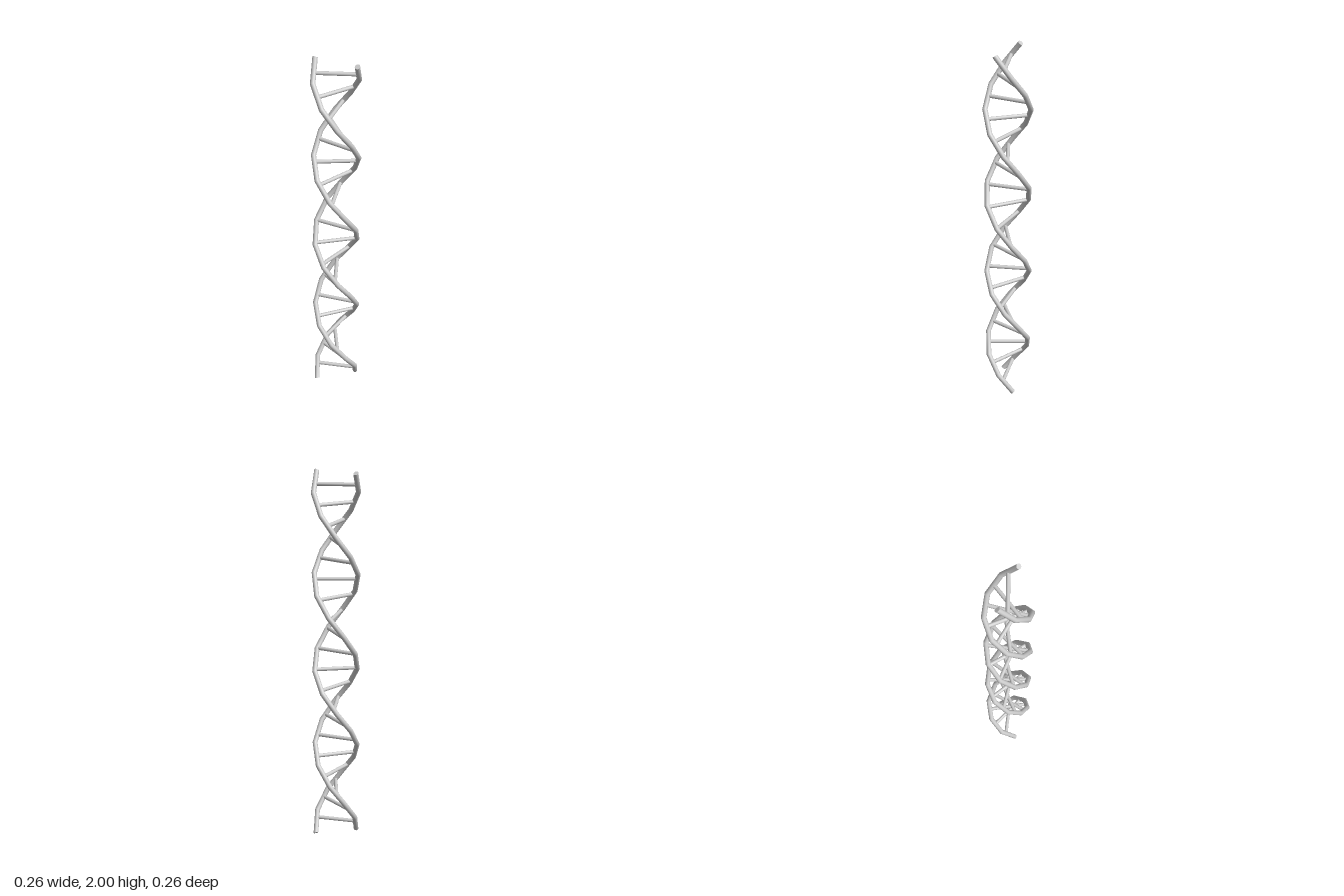
import * as THREE from 'three';

const RADIUS = 0.115;      // helix radius
const STRAND = 0.0135;     // strand thickness radius
const RUNG = 0.01;         // rung thickness radius
const SEGMENTS = 19;       // straight pieces per strand
const TOP = 1.992, BOTTOM = 0.008;
const TURN = 4.255 * Math.PI; // total twist from top to bottom

// Helix running from the top down; side is +1 or -1 for the two strands
class Helix extends THREE.Curve {
  constructor(side) {
    super();
    this.side = side;
  }
  getPoint(t, target = new THREE.Vector3()) {
    const a = TURN * t, r = RADIUS * this.side;
    return target.set(r * Math.cos(a), TOP + (BOTTOM - TOP) * t, -r * Math.sin(a));
  }
}

export function createModel() {
  const model = new THREE.Group();
  model.name = 'doubleHelix';
  const material = new THREE.MeshStandardMaterial({ color: 0xcccccc });
  const add = (name, geometry, parent = model) => {
    const mesh = new THREE.Mesh(geometry, material);
    mesh.name = name;
    parent.add(mesh);
    return mesh;
  };

  // Two strands with closed ends
  for (const side of [1, -1]) {
    const curve = new Helix(side);
    const strand = new THREE.Group();
    strand.name = side > 0 ? 'leftStrand' : 'rightStrand';
    model.add(strand);
    add('strandTube', new THREE.TubeGeometry(curve, SEGMENTS, STRAND, 16), strand);
    for (const t of [0, 1]) {
      const cap = add('strandCap', new THREE.CircleGeometry(STRAND, 16), strand);
      const outward = curve.getTangent(t).multiplyScalar(t ? 1 : -1);
      cap.position.copy(curve.getPoint(t));
      cap.quaternion.setFromUnitVectors(new THREE.Vector3(0, 0, 1), outward);
    }
  }

  // Rungs, each meeting the straight pieces of both strands
  const helix = new Helix(1);
  const up = new THREE.Vector3(0, 1, 0);
  const rungs = new THREE.Group();
  rungs.name = 'rungs';
  model.add(rungs);
  for (let i = 0; i < 20; i++) {
    const y = 1.93 - i * 0.0974;
    const s = (TOP - y) / (TOP - BOTTOM) * SEGMENTS;
    const k = Math.floor(s);
    const end = helix.getPoint(k / SEGMENTS).lerp(helix.getPoint((k + 1) / SEGMENTS), s - k);
    end.y = 0;
    const rung = add('rung', new THREE.CylinderGeometry(RUNG, RUNG, end.length() * 2, 12), rungs);
    rung.position.y = y;
    rung.quaternion.setFromUnitVectors(up, end.normalize());
  }
  return model;
}
